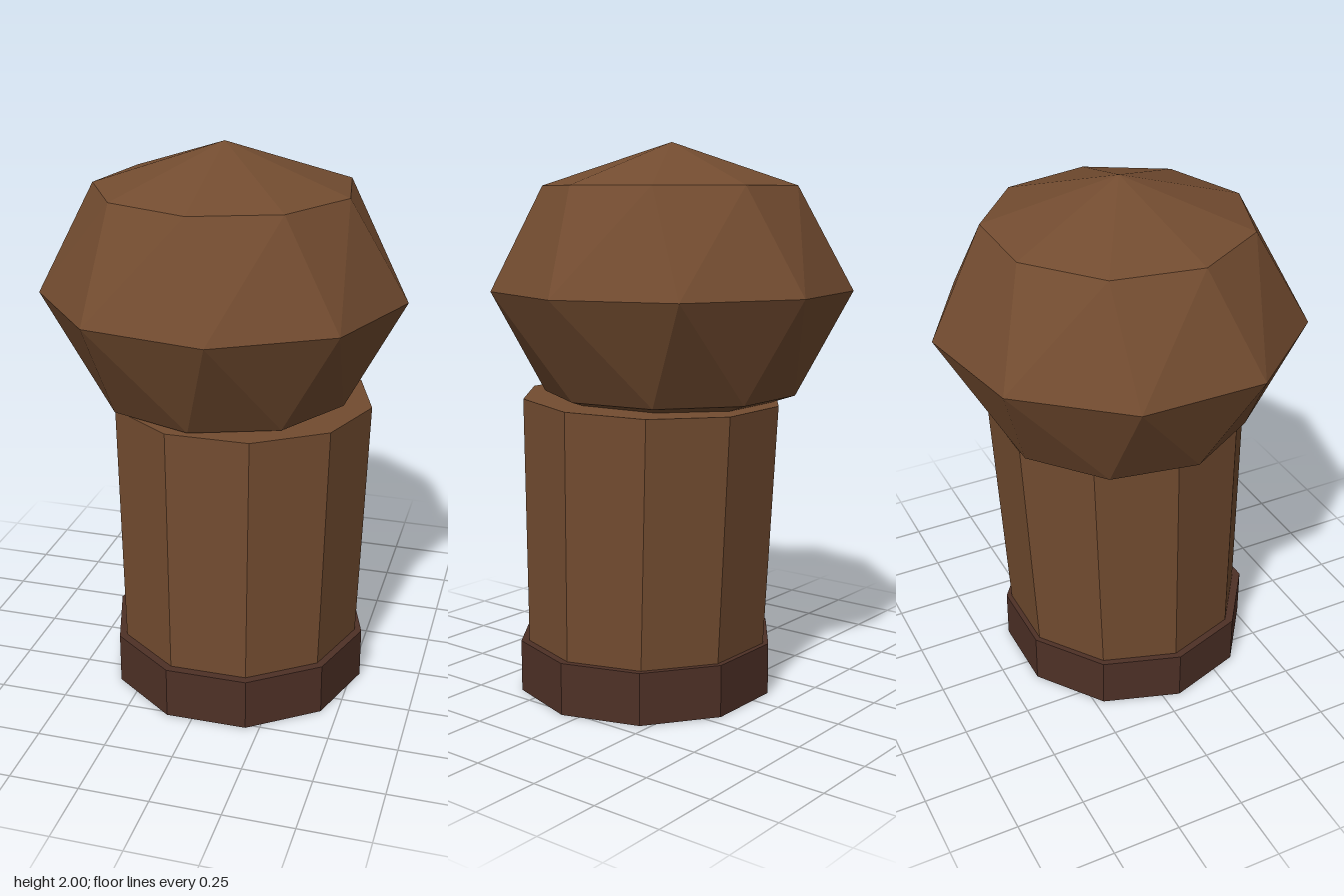
import * as THREE from 'three';

// Ring of n points around the y axis, angle measured from +z towards +x
const ring = (n, radius, y, offset) => Array.from({ length: n }, (_, i) => {
  const a = offset + (i / n) * Math.PI * 2;
  return [Math.sin(a) * radius, y, Math.cos(a) * radius];
});

// Faceted head: two poles and three rings, the middle one twisted slightly
function headGeometry() {
  const n = 9, radius = 0.657, height = 0.525, k = Math.SQRT1_2;
  const top = ring(n, radius * k, height * k, 0);
  const mid = ring(n, radius, 0, Math.PI / 18);
  const low = ring(n, radius * k, -height * k, 0);
  const points = [];
  for (let i = 0; i < n; i++) {
    const j = (i + 1) % n;
    points.push(
      [0, height, 0], top[i], top[j],
      top[i], mid[i], top[j],
      top[j], mid[i], mid[j],
      mid[i], low[i], low[j],
      mid[i], low[j], mid[j],
      low[i], [0, -height, 0], low[j]
    );
  }
  const geometry = new THREE.BufferGeometry();
  geometry.setAttribute('position', new THREE.Float32BufferAttribute(points.flat(), 3));
  geometry.computeVertexNormals();
  return geometry;
}

// Ten-sided drum standing on y = bottom
function drum(topRadius, bottomRadius, bottom, top) {
  const geometry = new THREE.CylinderGeometry(
    topRadius, bottomRadius, top - bottom, 10, 1, false, Math.PI / 2);
  return geometry.translate(0, (top + bottom) / 2, 0);
}

export function createModel() {
  const wood = new THREE.MeshStandardMaterial({ color: 0x734c30, flatShading: true });
  wood.name = 'wood brown';
  const darkWood = new THREE.MeshStandardMaterial({ color: 0x4e3026, flatShading: true });
  darkWood.name = 'dark wood brown';

  const model = new THREE.Group();
  model.name = 'knobbedPost';
  const add = (name, geometry, material, x, y, z) => {
    const mesh = new THREE.Mesh(geometry, material);
    mesh.name = name;
    mesh.position.set(x, y, z);
    model.add(mesh);
    return mesh;
  };

  add('base', drum(0.478, 0.478, 0, 0.19), darkWood, 0.053, 0, 0.063);

  // The post widens upwards and leans slightly back
  const post = add('post', drum(0.478, 0.449, 0.1, 1.088), wood, 0.053, 0, 0.063);
  post.rotation.x = -0.029;

  add('head', headGeometry(), wood, -0.02, 1.475, 0);
  return model;
}
